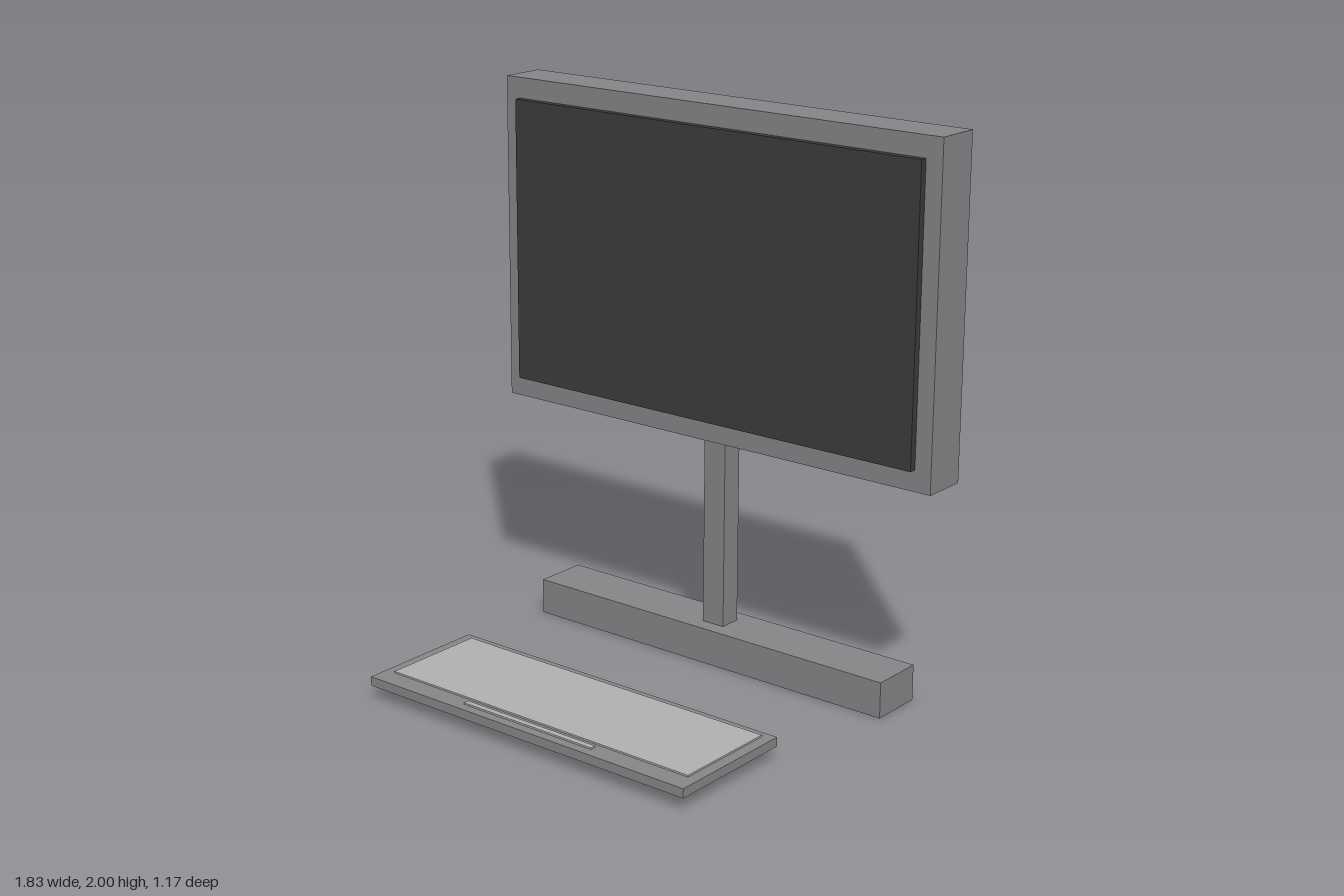
import * as THREE from 'three';

const paint = (color) => new THREE.MeshStandardMaterial({ color });

export function createModel() {
  const model = new THREE.Group();
  model.name = 'desktopComputer';
  const casing = paint(0x888689);
  const glass = paint(0x3d3d3d);
  const tray = paint(0x888888);
  const keys = paint(0xb2b2b2);

  // Box centred on x, given its width and its y and z ranges
  function slab(parent, name, material, width, [y0, y1], [z0, z1]) {
    const mesh = new THREE.Mesh(new THREE.BoxGeometry(width, y1 - y0, z1 - z0), material);
    mesh.position.set(0, (y0 + y1) / 2, (z0 + z1) / 2);
    mesh.name = name;
    parent.add(mesh);
  }

  // Monitor on its stand
  const monitor = new THREE.Group();
  monitor.name = 'monitor';
  slab(monitor, 'housing', casing, 1.826, [0.825, 2], [-0.57, -0.402]);
  slab(monitor, 'screen', glass, 1.702, [0.9, 1.926], [-0.41, -0.376]);
  slab(monitor, 'standPost', casing, 0.09, [0.12, 0.835], [-0.527, -0.445]);
  slab(monitor, 'standBase', casing, 1.512, [0, 0.13], [-0.587, -0.387]);

  // Keyboard with raised key field and space bar
  const keyboard = new THREE.Group();
  keyboard.name = 'keyboard';
  slab(keyboard, 'keyboardTray', tray, 1.364, [0.05, 0.083], [0.098, 0.587]);
  slab(keyboard, 'keyField', keys, 1.284, [0.075, 0.089], [0.127, 0.513]);
  slab(keyboard, 'spaceBar', keys, 0.556, [0.075, 0.089], [0.532, 0.553]);

  model.add(monitor, keyboard);
  return model;
}
